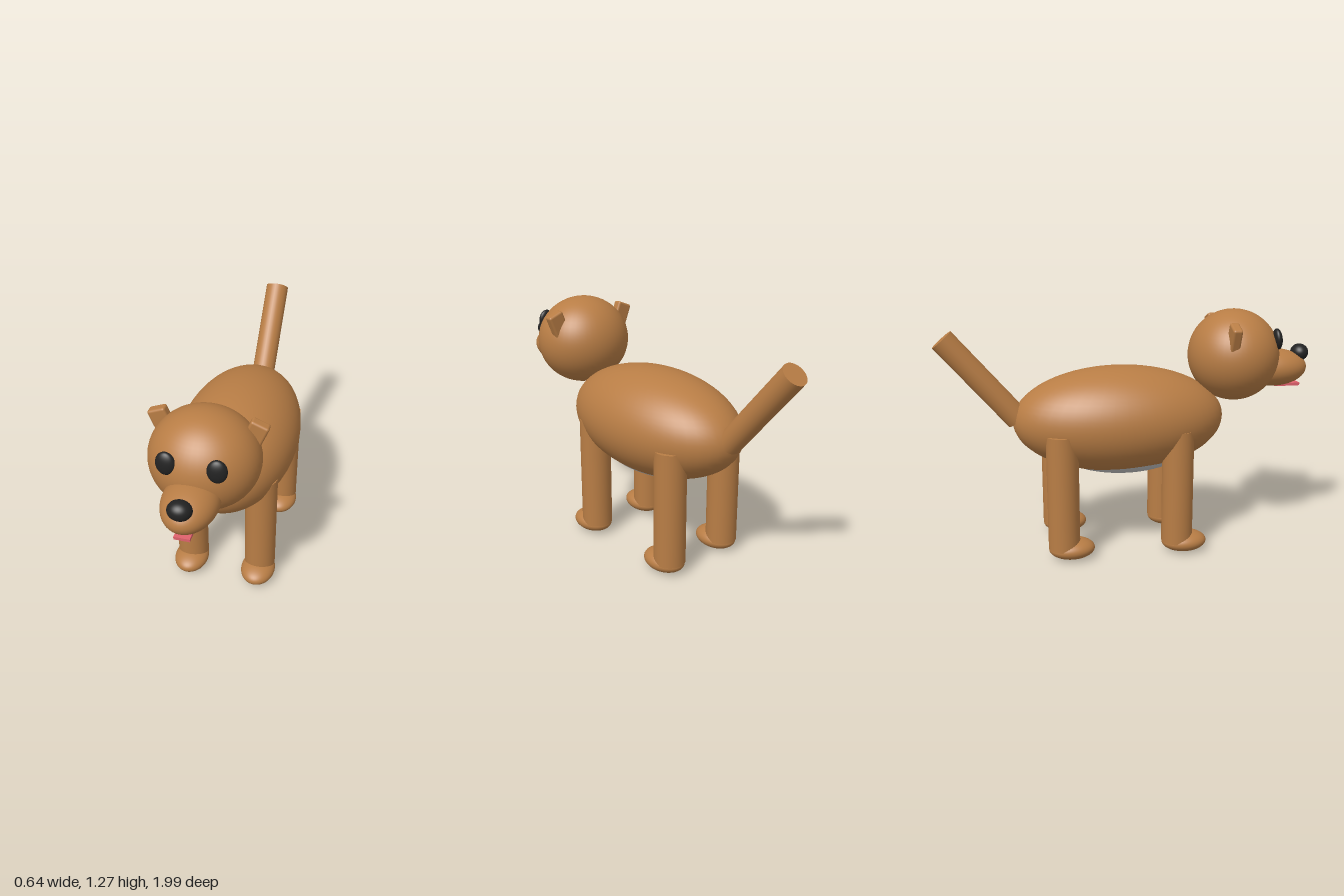
import * as THREE from 'three';
import { RoundedBoxGeometry } from 'three/addons/geometries/RoundedBoxGeometry.js';

const material = (name, color) => {
  const m = new THREE.MeshStandardMaterial({ color });
  m.name = name;
  return m;
};

export function createModel() {
  const fur = material('brown fur', 0xb87d45);
  const bellyGrey = material('belly grey', 0xc0c0c0);
  const black = material('black', 0x222222);
  const pink = material('tongue pink', 0xe0626c);

  const model = new THREE.Group();
  model.name = 'dog';

  const add = (name, geometry, mat, x, y, z) => {
    const mesh = new THREE.Mesh(geometry, mat);
    mesh.name = name;
    mesh.position.set(x, y, z);
    model.add(mesh);
    return mesh;
  };
  const ellipsoid = (name, mat, [x, y, z], [rx, ry, rz]) =>
    add(name, new THREE.SphereGeometry(1, 48, 32).scale(rx, ry, rz), mat, x, y, z);

  // Body, with the belly bulging slightly through its underside
  ellipsoid('body', fur, [0, 0.705, -0.043], [0.318, 0.28, 0.563]);
  ellipsoid('belly', bellyGrey, [0, 0.621, -0.014], [0.245, 0.216, 0.434]);

  // Head and face
  ellipsoid('head', fur, [0, 1.027, 0.578], [0.262, 0.243, 0.242]);
  ellipsoid('snout', fur, [0, 0.95, 0.8], [0.13, 0.101, 0.19]);
  ellipsoid('nose', black, [0, 1.027, 0.953], [0.056, 0.046, 0.047]);
  add('tongue', new THREE.BoxGeometry(0.074, 0.015, 0.14), pink, 0, 0.857, 0.88);

  for (const [label, s] of [['left', 1], ['right', -1]]) {
    const eye = ellipsoid(label + 'Eye', black, [s * 0.115, 1.121, 0.782], [0.046, 0.056, 0.024]);
    eye.rotation.set(-0.12, s * 0.08, 0);

    const ear = add(label + 'Ear', new RoundedBoxGeometry(0.09, 0.18, 0.05, 3, 0.012), fur, s * 0.209, 1.127, 0.515);
    ear.rotation.z = -s * 0.38;

    // Legs with paws pushed forward
    for (const [end, z] of [['Front', 0.238], ['Back', -0.367]]) {
      add(label + end + 'Leg', new THREE.CylinderGeometry(0.083, 0.083, 0.615, 32), fur, s * 0.19, 0.3675, z);
      ellipsoid(label + end + 'Paw', fur, [s * 0.19, 0.055, z + 0.039], [0.092, 0.055, 0.121]);
    }
  }

  // Tail slanting up and back
  const base = new THREE.Vector3(0, 0.722, -0.578);
  const tip = new THREE.Vector3(0, 1.148, -0.943);
  const axis = tip.clone().sub(base);
  const mid = base.clone().add(tip).multiplyScalar(0.5);
  const tail = add('tail', new THREE.CylinderGeometry(0.063, 0.063, axis.length(), 32), fur, mid.x, mid.y, mid.z);
  tail.quaternion.setFromUnitVectors(new THREE.Vector3(0, 1, 0), axis.normalize());

  return model;
}
